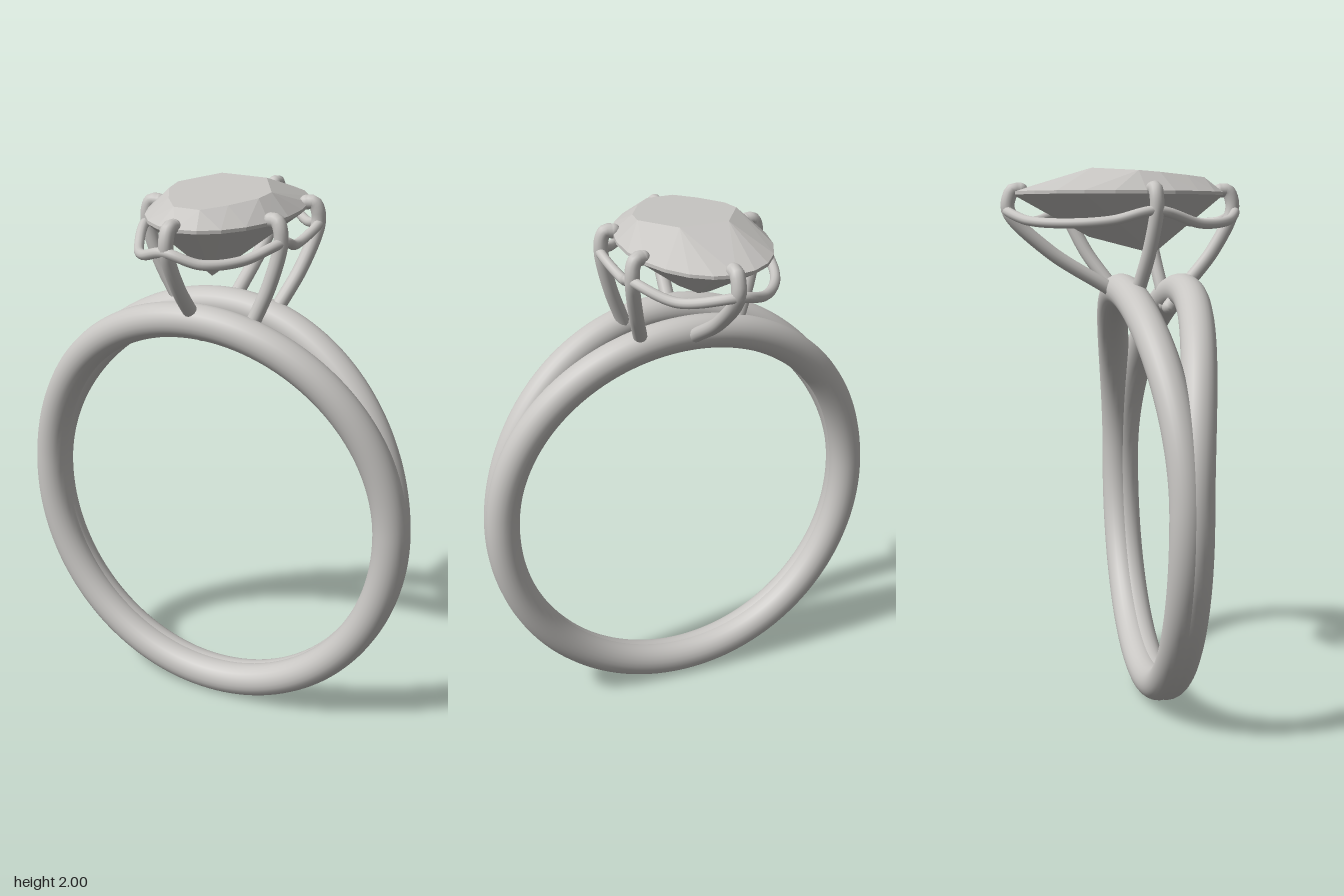
import * as THREE from 'three';
import { ConvexGeometry } from 'three/addons/geometries/ConvexGeometry.js';

const V = (x, y, z) => new THREE.Vector3(x, y, z);

export function createModel() {
  const ring = new THREE.Group();
  ring.name = 'ring';
  const silver = new THREE.MeshStandardMaterial({ color: 0xc8c6c3 });
  silver.name = 'silver grey';
  const faceted = silver.clone();
  faceted.name = 'silver grey faceted';
  faceted.flatShading = true;

  const add = (parent, geometry, name, material = silver) => {
    const mesh = new THREE.Mesh(geometry, material);
    mesh.name = name;
    parent.add(mesh);
    return mesh;
  };

  // Split band: two round strands merged at the bottom, parting towards the top
  for (const side of [-1, 1]) {
    const points = [];
    for (let i = 0; i < 64; i++) {
      const a = (i / 64) * Math.PI * 2;
      const y = 0.808 + 0.745 * Math.sin(a);
      const t = Math.max(0, (y - 0.85) / 0.7);
      const offset = 0.014 + 0.1 * Math.pow(t, 1.8);
      points.push(V(0.716 * Math.cos(a), y, 0.116 + side * offset));
    }
    const path = new THREE.CatmullRomCurve3(points, true);
    add(ring, new THREE.TubeGeometry(path, 160, 0.063, 24, true), side > 0 ? 'frontStrand' : 'backStrand');
  }

  // Prongs: root in the band, bulge, shoulder and a tip hooked over the stone
  const prongs = [
    { name: 'backProng', top: [0, -0.42], base: [0, -0.03] },
    { name: 'leftBackProng', top: [0.277, -0.165], base: [0.19, 0] },
    { name: 'leftFrontProng', top: [0.28, 0.15], base: [0.19, 0.19] },
    { name: 'frontProng', top: [-0.015, 0.415], base: [-0.01, 0.225] },
    { name: 'rightProng', top: [-0.285, 0.077], base: [-0.19, 0.025] },
  ];
  for (const { name, top: [x, z], base: [bx, bz] } of prongs) {
    const group = new THREE.Group();
    group.name = name;
    ring.add(group);
    const inward = V(-x, 0, -z * 0.5).normalize();
    const at = (f, y) => V(bx + (x - bx) * f, y, bz + (z - bz) * f);
    const tip = V(x, 1.922, z).addScaledVector(inward, 0.045);
    const path = new THREE.CatmullRomCurve3([
      at(-0.25, 1.49), at(0.08, 1.57), at(0.62, 1.7), at(1, 1.845),
      V(x, 1.9, z).addScaledVector(inward, 0.004),
      V(x, 1.922, z).addScaledVector(inward, 0.018), tip,
    ]);
    add(group, new THREE.TubeGeometry(path, 48, 0.026, 14), 'prongWire');
    for (const end of [path.getPoint(0), tip]) {
      add(group, new THREE.SphereGeometry(0.026, 14, 10), 'prongEnd').position.copy(end);
    }
  }

  // Gallery wire: rises at each prong and sags between them
  const gallery = new THREE.CatmullRomCurve3([
    V(0, 1.845, -0.425), V(0.17, 1.81, -0.31), V(0.28, 1.85, -0.17), V(0.262, 1.805, -0.02),
    V(0.285, 1.85, 0.15), V(0.2, 1.81, 0.29), V(0.1, 1.81, 0.39), V(-0.015, 1.845, 0.425),
    V(-0.13, 1.81, 0.37), V(-0.22, 1.8, 0.25), V(-0.288, 1.845, 0.077),
    V(-0.275, 1.81, -0.08), V(-0.22, 1.8, -0.23), V(-0.12, 1.81, -0.36),
  ], true);
  add(ring, new THREE.TubeGeometry(gallery, 160, 0.018, 12, true), 'galleryWire');

  // Oval stone: girdle, tilted table and an off-centre keel
  const stone = [];
  for (let i = 0; i < 22; i++) {
    const a = (i / 22) * Math.PI * 2;
    for (const y of [1.904, 1.916]) stone.push(V(0.26 * Math.sin(a), y, -0.01 + 0.392 * Math.cos(a)));
  }
  const table = [[0.09, -0.125], [0.185, 0.03], [0.175, 0.11], [0.115, 0.22], [0.05, 0.3]];
  for (const s of [-1, 1]) {
    for (const [x, z] of table) stone.push(V(s * x, 1.991 - 0.07 * z, z));
    stone.push(V(s * 0.02, 1.752, -0.12));
  }
  stone.push(V(0, 1.69, 0.12));
  add(ring, new ConvexGeometry(stone), 'stone', faceted);

  return ring;
}
